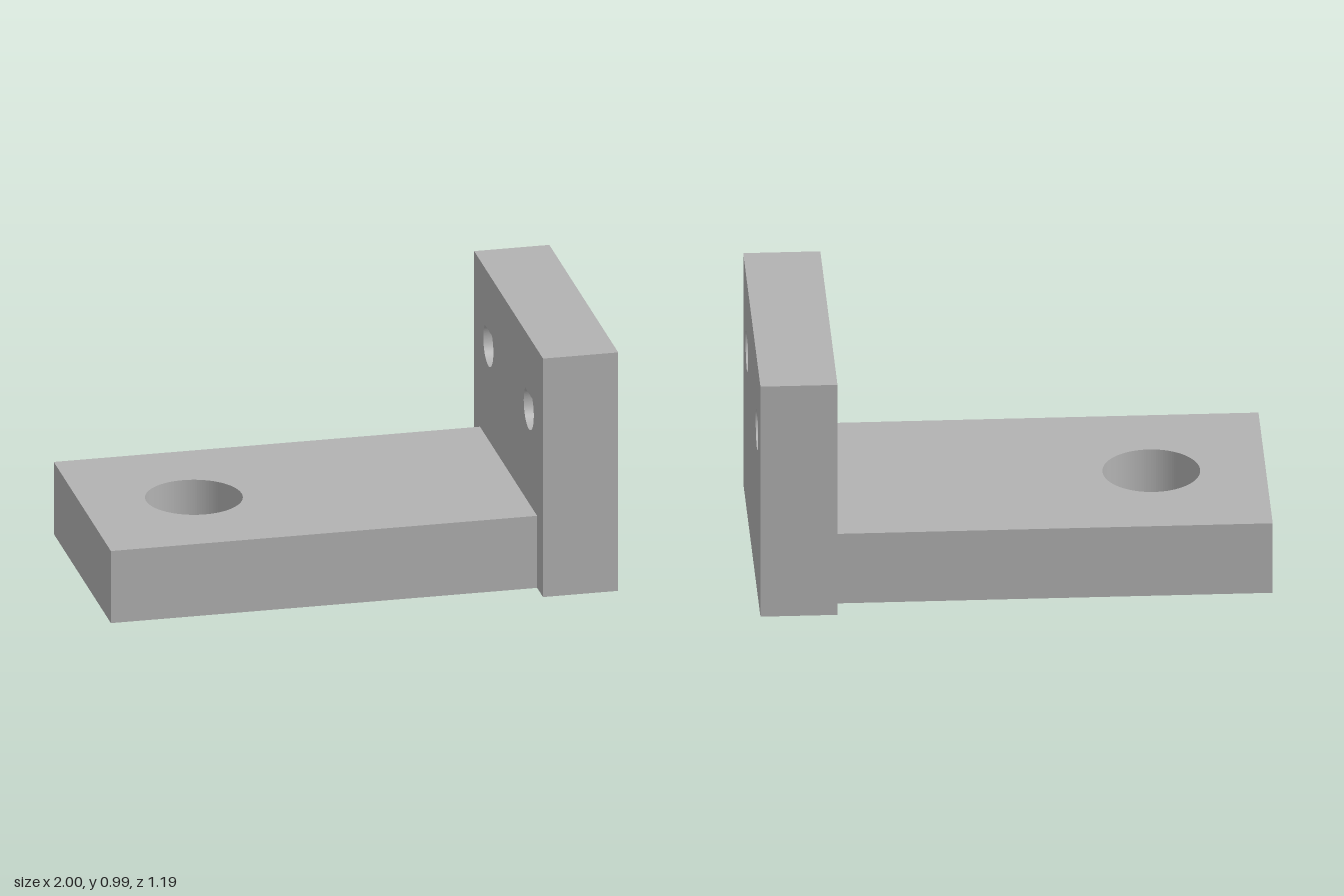
import * as THREE from 'three';

const THICK = 0.3;

// Rectangle centred on x = cx, rising from y0 to y1
function rect(x0, x1, y0, y1) {
  return new THREE.Shape([
    new THREE.Vector2(x0, y0), new THREE.Vector2(x1, y0),
    new THREE.Vector2(x1, y1), new THREE.Vector2(x0, y1),
  ]);
}

// Round hole with a 90 degree pointed roof
function teardrop(x, y, r) {
  const path = new THREE.Path();
  path.moveTo(x, y + r * Math.SQRT2);
  path.absarc(x, y, r, Math.PI * 0.75, Math.PI * 2.25, false);
  path.closePath();
  return path;
}

function plate(shape) {
  return new THREE.ExtrudeGeometry(shape, { depth: THICK, bevelEnabled: false, curveSegments: 64 });
}

export function createModel() {
  const group = new THREE.Group();
  group.name = 'bracket';
  const grey = new THREE.MeshStandardMaterial({ color: 0xb2b2b2 });
  grey.name = 'grey';

  // Horizontal plate with a large round hole
  const baseShape = rect(-1, 0.7, -0.495, 0.495);
  baseShape.holes.push(new THREE.Path().absarc(-0.555, 0, 0.19, 0, Math.PI * 2, true));
  const base = new THREE.Mesh(plate(baseShape).rotateX(-Math.PI / 2), grey);
  base.name = 'basePlate';
  group.add(base);

  // Upright plate with two teardrop holes
  const wallShape = rect(-0.597, 0.597, 0, 0.993);
  for (const side of [-1, 1]) wallShape.holes.push(teardrop(side * 0.35, 0.695, 0.087));
  const wall = new THREE.Mesh(plate(wallShape).rotateY(Math.PI / 2), grey);
  wall.name = 'uprightPlate';
  wall.position.x = 0.7;
  group.add(wall);

  return group;
}
